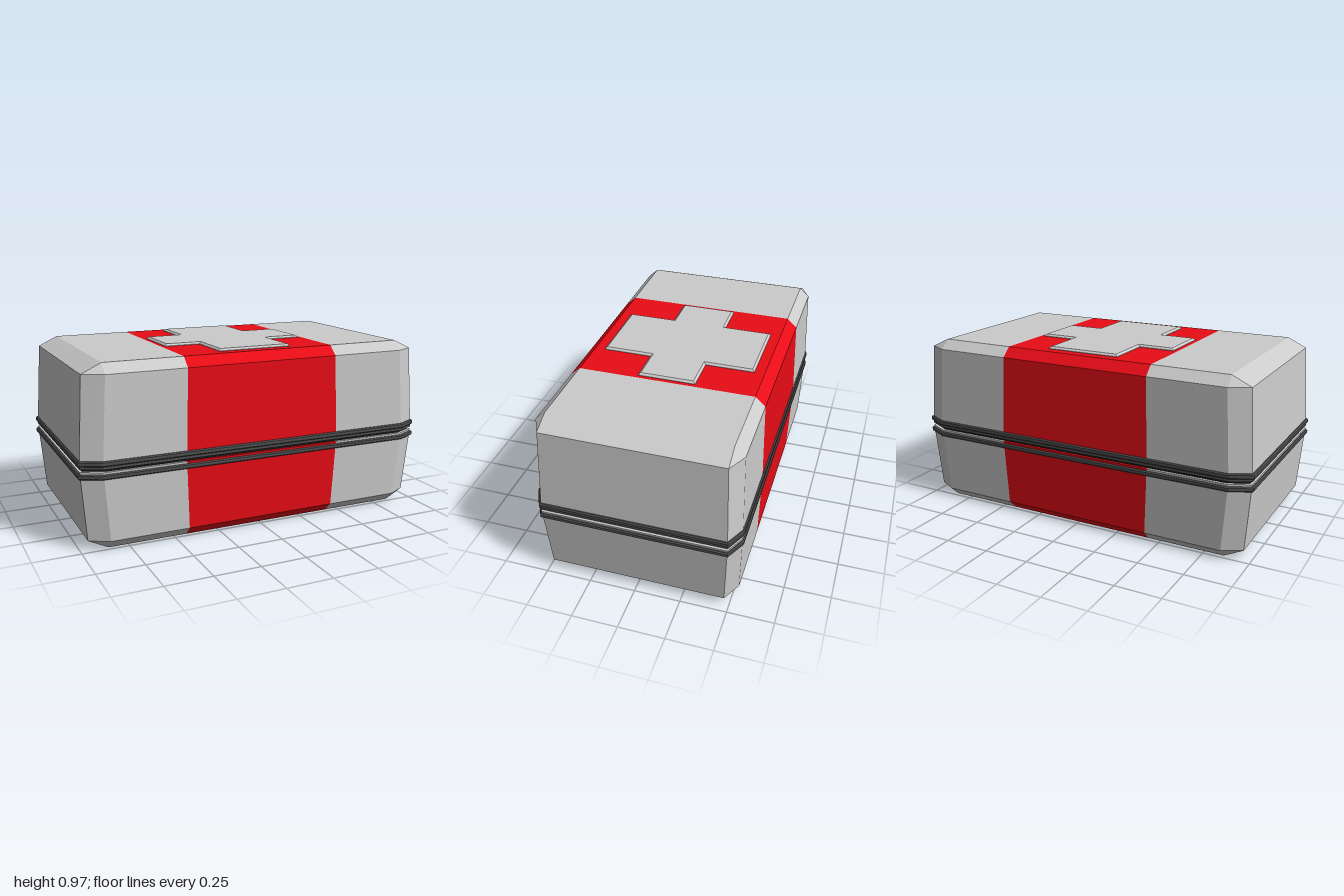
import * as THREE from 'three';

const material = (color) => new THREE.MeshStandardMaterial({ color, flatShading: true });
const grey = material(0xcccccc);
const red = material(0xe80c16);
const dark = material(0x505050);
const black = material(0x151515);

// Horizontal section of the case: chamfered rectangle, split at the strip edges x = +-s
function section([y, X, Z, cx, cz, s]) {
  const half = [[s, Z], [cx, Z], [X, cz], [X, -cz], [cx, -Z], [s, -Z]];
  return [...half, ...half.map(([x, z]) => [-x, -z])].map(([x, z]) => new THREE.Vector3(x, y, z));
}

function makeMesh(name, triangles, mat) {
  const points = triangles
    .filter(([a, b, c]) => new THREE.Triangle(a, b, c).getArea() > 1e-8)
    .flat();
  const geometry = new THREE.BufferGeometry().setFromPoints(points);
  geometry.computeVertexNormals();
  const mesh = new THREE.Mesh(geometry, mat);
  mesh.name = name;
  return mesh;
}

// Closed stack of sections; the middle slice goes to the strip material
function loft(name, levels, mainMat, stripMat) {
  const rings = levels.map(section);
  const main = [], strip = [];
  for (let k = 0; k < rings.length - 1; k++) {
    const lo = rings[k], hi = rings[k + 1];
    for (let i = 0; i < 12; i++) {
      const j = (i + 1) % 12;
      (i % 6 === 5 ? strip : main).push([lo[i], lo[j], hi[j]], [lo[i], hi[j], hi[i]]);
    }
  }
  const cap = (r, flip) => {
    const add = (list, a, b, c) => list.push(flip ? [r[a], r[c], r[b]] : [r[a], r[b], r[c]]);
    for (const o of [0, 6]) for (let i = 1; i < 5; i++) add(main, o, o + i, o + i + 1);
    add(strip, 0, 5, 6);
    add(strip, 0, 6, 11);
  };
  cap(rings[0], true);
  cap(rings[rings.length - 1], false);
  const group = new THREE.Group();
  group.name = name;
  group.add(makeMesh(name + 'Shell', main, mainMat), makeMesh(name + 'Strip', strip, stripMat));
  return group;
}

// Bevelled band around the case between two heights
function rim(name, y0, y1) {
  const b = 0.006;
  const outer = [1, 0.55, 0.892, 0.495, 0.445];
  const inner = [0.994, 0.544, 0.889, 0.492, 0.445];
  return loft(name, [[y0, ...inner], [y0 + b, ...outer], [y1 - b, ...outer], [y1, ...inner]], dark, dark);
}

export function createModel() {
  const model = new THREE.Group();
  model.name = 'firstAidCase';

  // Case halves
  model.add(loft('base', [
    [0, 0.855, 0.475, 0.855, 0.475, 0.43],
    [0.053, 0.96, 0.53, 0.855, 0.475, 0.43],
    [0.423, 0.99, 0.542, 0.885, 0.49, 0.445],
  ], grey, red));
  model.add(loft('lid', [
    [0.45, 0.99, 0.542, 0.885, 0.49, 0.445],
    [0.905, 0.96, 0.53, 0.855, 0.475, 0.43],
    [0.955, 0.855, 0.475, 0.855, 0.475, 0.43],
  ], grey, red));

  // Rims with the seam between them
  model.add(rim('lowerRim', 0.385, 0.412), rim('upperRim', 0.452, 0.48));
  const lip = [0.99, 0.542, 0.885, 0.49, 0.445];
  const groove = [0.975, 0.527, 0.875, 0.48, 0.445];
  model.add(loft('lidLip', [[0.437, ...lip], [0.453, ...lip]], dark, dark));
  model.add(loft('seam', [[0.42, ...groove], [0.44, ...groove]], black, black));

  // Raised cross on the lid
  const [ax, az, wx, wz] = [0.41, 0.42, 0.21, 0.155];
  const outline = [
    [wx, -az], [wx, -wz], [ax, -wz], [ax, wz], [wx, wz], [wx, az],
    [-wx, az], [-wx, wz], [-ax, wz], [-ax, -wz], [-wx, -wz], [-wx, -az],
  ].map(([x, y]) => new THREE.Vector2(x, y));
  const crossGeometry = new THREE.ExtrudeGeometry(new THREE.Shape(outline), {
    depth: 0.002, bevelThickness: 0.01, bevelSize: 0.012, bevelOffset: -0.012, bevelSegments: 1,
  });
  crossGeometry.rotateX(-Math.PI / 2);
  const cross = new THREE.Mesh(crossGeometry, grey);
  cross.name = 'raisedCross';
  cross.position.y = 0.956;
  model.add(cross);

  return model;
}
